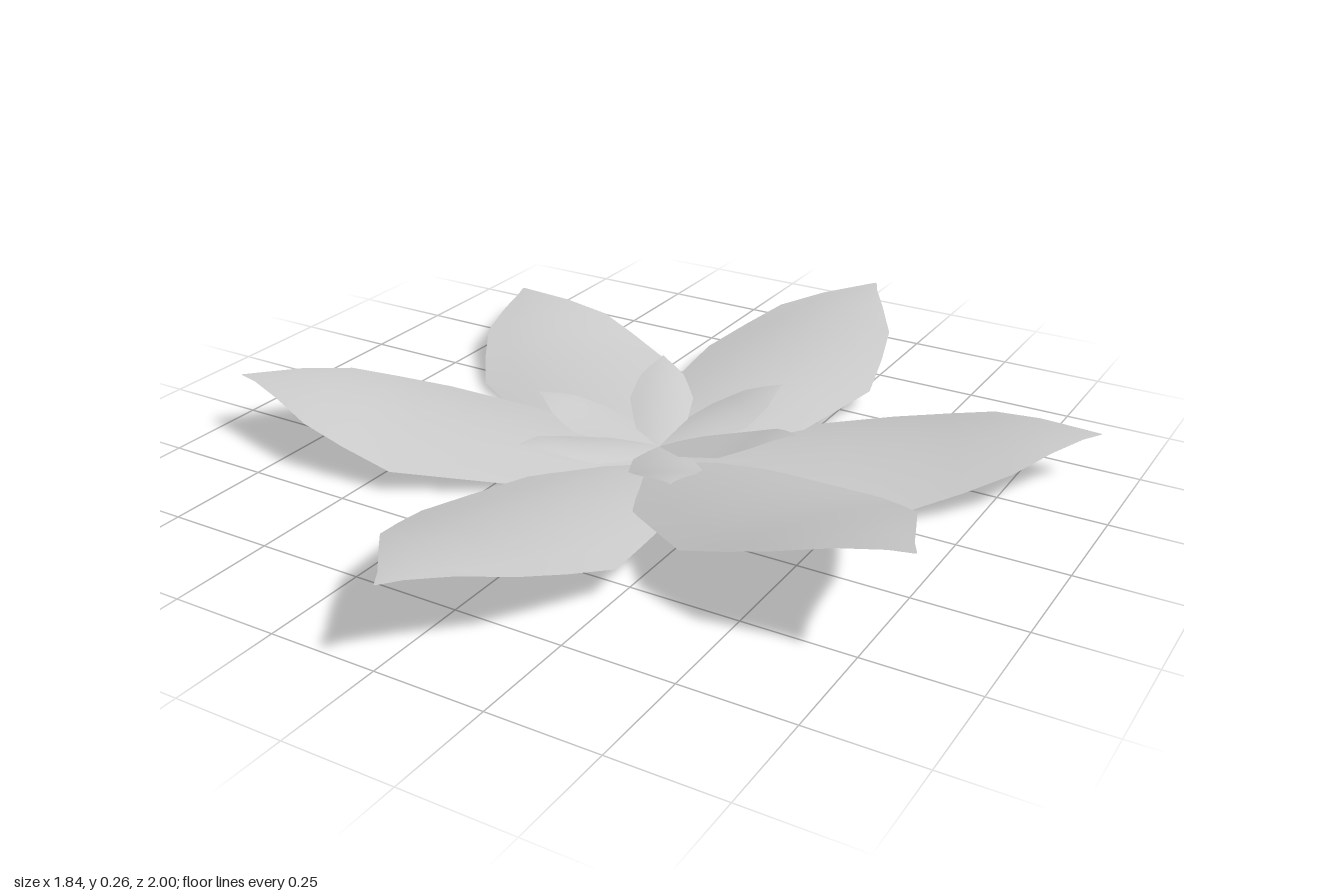
import * as THREE from 'three';

// Petal template: [distance along axis, half width, ridge height above a straight line], unit length
const ROWS = [
  [0, 0.03, 0], [0.1, 0.12, 0], [0.2, 0.18, 0], [0.3, 0.2, 0], [0.42, 0.22, 0],
  [0.56, 0.242, 0], [0.68, 0.205, 0.006], [0.785, 0.165, 0.013], [0.88, 0.09, 0.011],
  [0.955, 0.03, 0.005], [1, 0.002, 0],
];
const COLS = 6;
const DROOP = 0.6;

// Leaf-shaped open surface from a base point to a tip, its sides arching down from the ridge
function petalGeometry(base, tip, widthScale) {
  const dx = tip[0] - base[0], dz = tip[2] - base[2];
  const length = Math.hypot(dx, dz);
  const ux = dx / length, uz = dz / length;
  const positions = [], index = [];
  ROWS.forEach(([t, halfWidth, ridge], i) => {
    for (let j = 0; j <= COLS; j++) {
      const across = ((j / COLS) * 2 - 1) * halfWidth * length * widthScale;
      const along = t * length;
      const y = base[1] + (tip[1] - base[1]) * t + ridge * length - (DROOP * across * across) / length;
      positions.push(
        base[0] + ux * along + uz * across,
        Math.max(0, y),
        base[2] + uz * along - ux * across,
      );
      if (i > 0 && j > 0) {
        const d = i * (COLS + 1) + j, c = d - 1, b = d - COLS - 1, a = b - 1;
        index.push(a, c, b, b, c, d);
      }
    }
  });
  const geometry = new THREE.BufferGeometry();
  geometry.setAttribute('position', new THREE.Float32BufferAttribute(positions, 3));
  geometry.setIndex(index);
  geometry.computeVertexNormals();
  return geometry;
}

export function createModel() {
  const flower = new THREE.Group();
  flower.name = 'flower';
  const material = new THREE.MeshStandardMaterial({ color: 0xcccccc, side: THREE.DoubleSide });

  const addWhorl = (name, base, tips, widthScale) => {
    const whorl = new THREE.Group();
    whorl.name = name + 's';
    tips.forEach((tip, i) => {
      const petal = new THREE.Mesh(petalGeometry(base, tip, widthScale), material);
      petal.name = name + (i + 1);
      whorl.add(petal);
    });
    flower.add(whorl);
  };

  // Six large outer petals, each with its own tilt
  addWhorl('outerPetal', [0.01, 0.006, 0], [
    [0.015, 0.19, 0.995], [0.855, 0.265, 0.515], [0.915, 0.12, -0.445],
    [0.12, 0.155, -1], [-0.78, 0.092, -0.615], [-0.92, 0.155, 0.35],
  ], 1);

  // Six small inner petals around the heart
  addWhorl('innerPetal', [0.01, 0.04, -0.025], [
    [0.36, 0.155, -0.025], [0.18, 0.125, -0.315], [-0.15, 0.13, -0.315],
    [-0.33, 0.1, -0.03], [-0.18, 0.12, 0.27], [0.21, 0.125, 0.27],
  ], 0.95);

  return flower;
}
